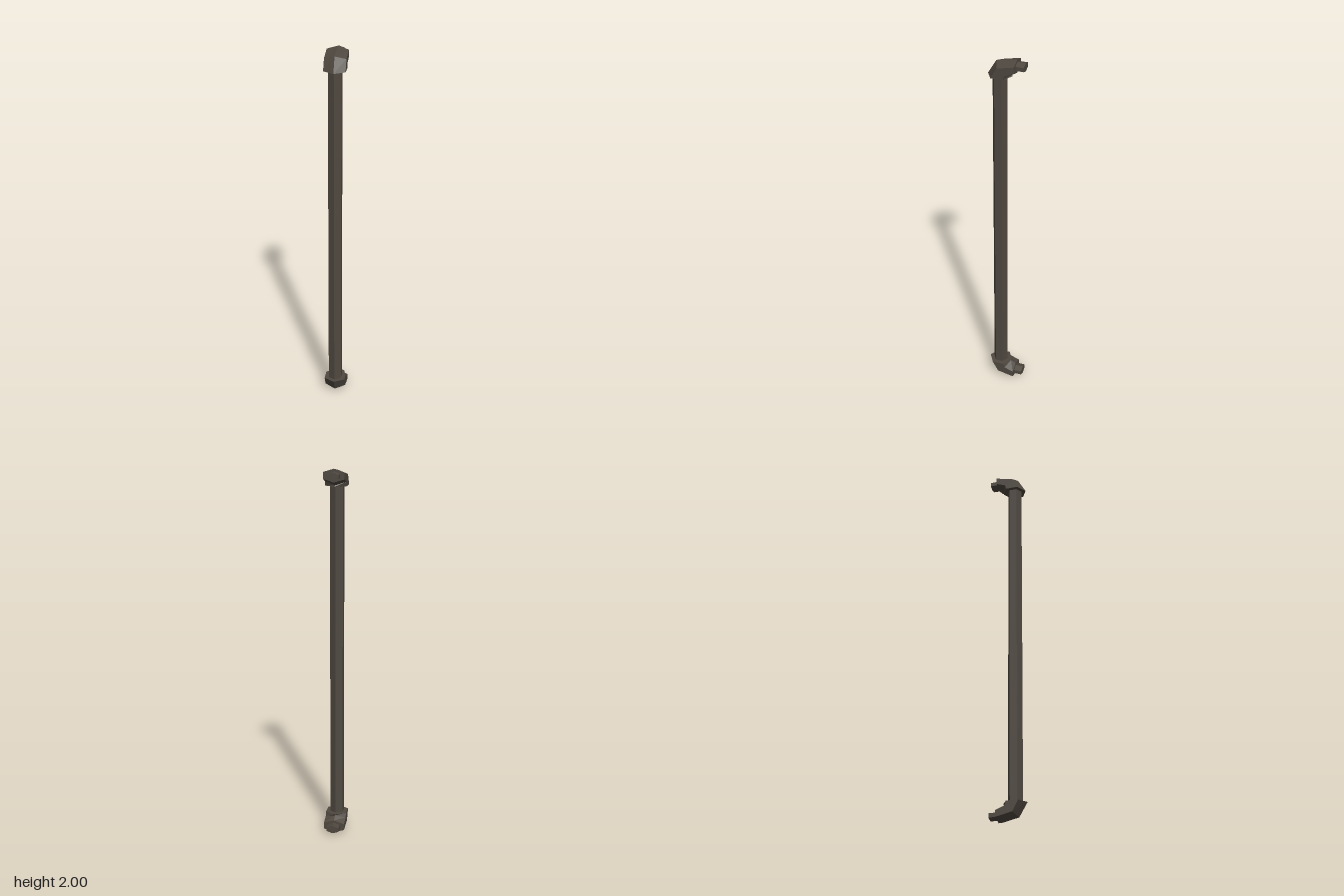
import * as THREE from 'three';

const material = new THREE.MeshStandardMaterial({ color: 0x4f4840, flatShading: true });

// Skins hexagonal rings; each ring is [outerY, outerZ, innerY, innerZ], a corner pair in the x = 0 plane.
function hexLoft(name, halfWidth, rings) {
  const pos = [], idx = [], n = 6;
  for (const [y0, z0, y1, z1] of rings) {
    for (let k = 0; k < n; k++) {
      const a = (k * Math.PI) / 3, c = Math.cos(a) / 2;
      pos.push(
        (halfWidth * Math.sin(a)) / Math.sin(Math.PI / 3),
        (y0 + y1) / 2 + (y0 - y1) * c,
        (z0 + z1) / 2 + (z0 - z1) * c
      );
    }
  }
  const last = (rings.length - 1) * n;
  for (let r = 0; r < last; r += n) {
    for (let k = 0; k < n; k++) {
      const a = r + k, b = r + ((k + 1) % n);
      idx.push(a, b, b + n, a, b + n, a + n);
    }
  }
  // End caps
  for (let k = 1; k < n - 1; k++) {
    idx.push(0, k + 1, k, last, last + k, last + k + 1);
  }
  const indexed = new THREE.BufferGeometry();
  indexed.setAttribute('position', new THREE.Float32BufferAttribute(pos, 3));
  indexed.setIndex(idx);
  const geometry = indexed.toNonIndexed();
  geometry.computeVertexNormals();
  const mesh = new THREE.Mesh(geometry, material);
  mesh.name = name;
  return mesh;
}

// Hexagonal elbow turning backwards, with a narrower mounting stub
function createBracket(name) {
  const bracket = new THREE.Group();
  bracket.name = name;
  bracket.add(
    hexLoft('elbow', 0.056, [
      [1.905, 0.097, 1.905, -0.031],
      [1.98, 0.053, 1.912, -0.026],
      [2.0, -0.055, 1.93, -0.055],
    ]),
    hexLoft('mountingStub', 0.033, [
      [1.987, -0.05, 1.943, -0.05],
      [1.987, -0.098, 1.943, -0.098],
    ])
  );
  return bracket;
}

export function createModel() {
  const model = new THREE.Group();
  model.name = 'barHandle';

  // Long hexagonal grip
  model.add(hexLoft('grip', 0.034, [
    [0.09, 0.073, 0.09, -0.005],
    [1.91, 0.073, 1.91, -0.005],
  ]));

  // Matching brackets at both ends; the lower one is turned upside down
  const lower = createBracket('lowerBracket');
  lower.rotation.z = Math.PI;
  lower.position.y = 2;
  model.add(createBracket('upperBracket'), lower);
  return model;
}
